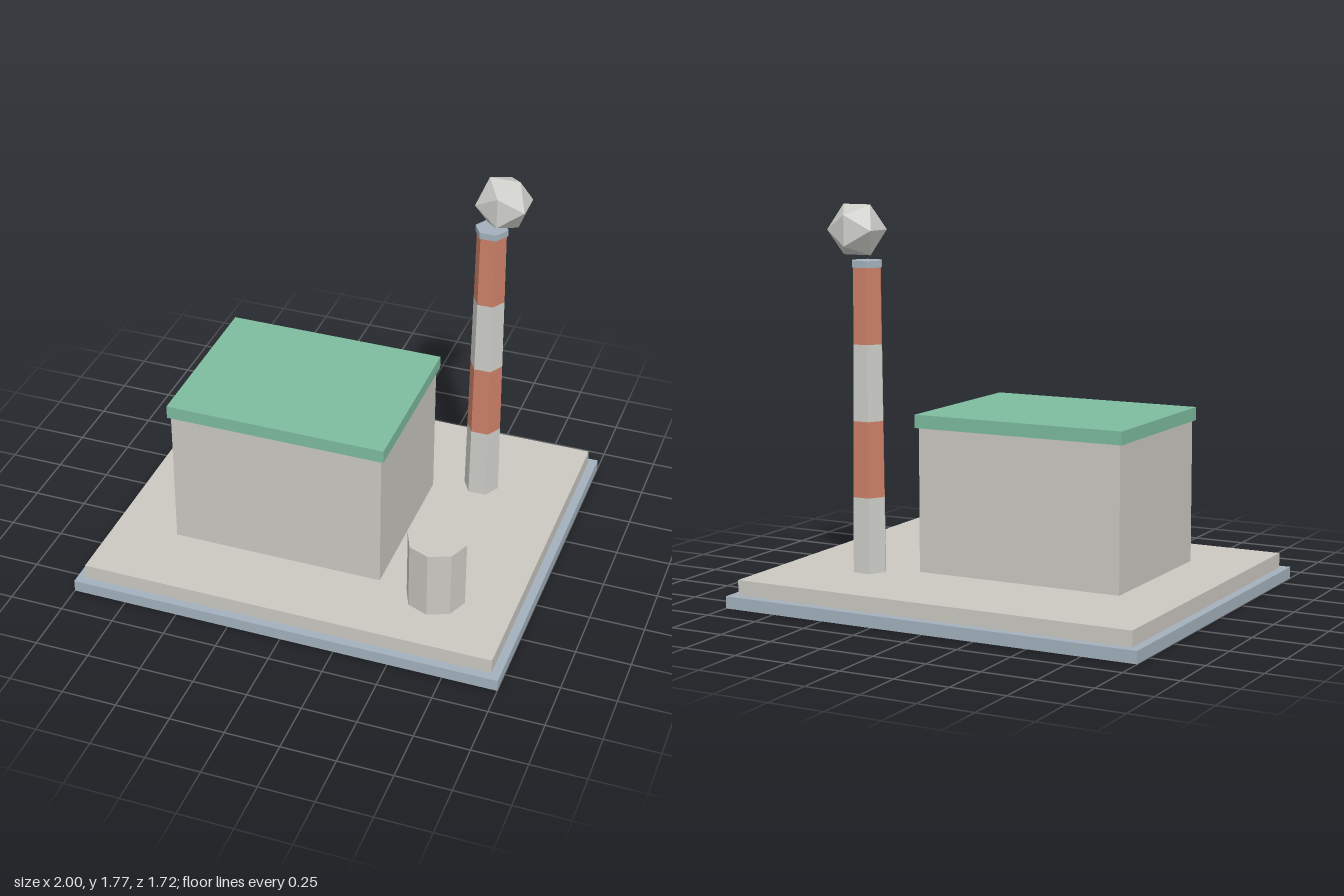
import * as THREE from 'three';

const paint = (name, color) => {
  const m = new THREE.MeshStandardMaterial({ color });
  m.name = name;
  m.flatShading = true;
  return m;
};

export function createModel() {
  const model = new THREE.Group();
  model.name = 'powerStation';

  const concrete = paint('concrete', 0xcbc8c2);
  const steel = paint('blueGreySteel', 0xa3b1bc);
  const green = paint('roofGreen', 0x7dbb9f);
  const rust = paint('stripeRust', 0xcb7f67);
  const pale = paint('paleGrey', 0xcccdc8);

  const add = (name, geometry, material, x, y, z) => {
    const mesh = new THREE.Mesh(geometry, material);
    mesh.name = name;
    mesh.position.set(x, y, z);
    model.add(mesh);
    return mesh;
  };
  // Box standing between two heights
  const block = (name, material, w, d, y0, y1, x = 0, z = 0) =>
    add(name, new THREE.BoxGeometry(w, y1 - y0, d), material, x, (y0 + y1) / 2, z);

  // Stepped ground plate
  block('base', steel, 2, 1.724, 0, 0.055);
  block('yardSlab', concrete, 1.92, 1.644, 0.055, 0.125);

  // Hall with overhanging roof
  block('hall', concrete, 0.99, 0.775, 0.125, 0.785, -0.165, 0.081);
  block('roof', green, 1.018, 0.802, 0.782, 0.842, -0.165, 0.079);

  // Eight-sided tank
  add('tank', new THREE.CylinderGeometry(0.136, 0.136, 0.32, 8), concrete, 0.6, 0.285, 0.49);

  // Tapered six-sided chimney in four alternating bands
  const cx = 0.546, cz = -0.383, bottom = 0.125, step = 0.344;
  const radius = (i) => 0.083 - 0.0035 * i;
  for (let i = 0; i < 4; i++) {
    const band = new THREE.CylinderGeometry(radius(i + 1), radius(i), step, 6);
    band.rotateY(Math.PI / 2);
    add('chimneyBand' + (i + 1), band, i % 2 ? rust : pale, cx, bottom + step * (i + 0.5), cz);
  }
  const rim = new THREE.CylinderGeometry(0.0755, 0.0755, 0.03, 6);
  rim.rotateY(Math.PI / 2);
  add('chimneyRim', rim, steel, cx, 1.513, cz);

  // Faceted smoke puff
  add('smokePuff', new THREE.IcosahedronGeometry(0.132, 0), pale, 0.596, 1.662, cz);

  return model;
}
